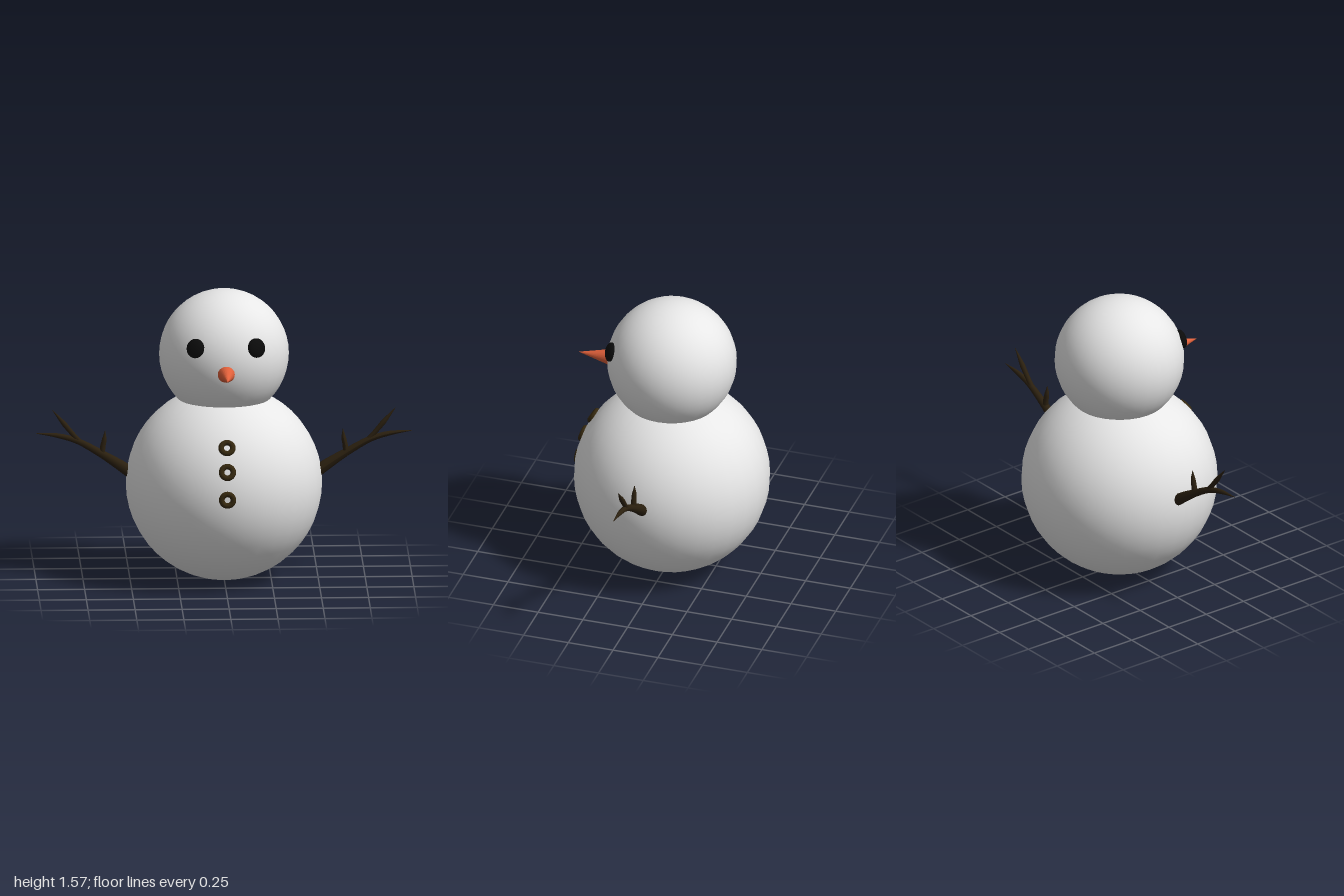
import * as THREE from 'three';

const flat = (name, color) => {
  const m = new THREE.MeshStandardMaterial({ color });
  m.name = name;
  return m;
};

// Tapered round branch through [x, y, radius] points
function branch(points, material, name) {
  const steps = 16, sides = 10;
  const curve = new THREE.CatmullRomCurve3(points.map(([x, y]) => new THREE.Vector3(x, y, 0)));
  const geo = new THREE.TubeGeometry(curve, steps, 1, sides);
  const pos = geo.attributes.position;
  const lengths = curve.getLengths(200);
  const n = points.length - 1;
  const stops = points.map((_, i) => lengths[Math.round((i / n) * 200)] / lengths[200]);
  const v = new THREE.Vector3();
  for (let i = 0; i <= steps; i++) {
    const u = i / steps;
    let k = 0;
    while (k < n - 1 && u > stops[k + 1]) k++;
    const t = (u - stops[k]) / (stops[k + 1] - stops[k]);
    const radius = THREE.MathUtils.lerp(points[k][2], points[k + 1][2], t);
    const center = curve.getPointAt(u);
    for (let j = 0; j <= sides; j++) {
      const id = i * (sides + 1) + j;
      v.fromBufferAttribute(pos, id).sub(center).multiplyScalar(radius).add(center);
      pos.setXYZ(id, v.x, v.y, v.z);
    }
  }
  geo.computeVertexNormals();
  const mesh = new THREE.Mesh(geo, material);
  mesh.name = name;
  return mesh;
}

export function createModel() {
  const snow = flat('snow', 0xe7e7e7);
  const coal = flat('coal', 0x0b0b0b);
  const carrot = flat('carrot', 0xe0603a);
  const wood = flat('wood', 0x2b200f);
  const buttonBrown = flat('button brown', 0x35280f);

  const model = new THREE.Group();
  model.name = 'snowman';
  const add = (name, geo, material, x, y, z, parent = model) => {
    const mesh = new THREE.Mesh(geo, material);
    mesh.name = name;
    mesh.position.set(x, y, z);
    parent.add(mesh);
    return mesh;
  };

  // Snowballs
  const bodyCenter = new THREE.Vector3(0, 0.527, -0.004);
  const headCenter = new THREE.Vector3(0, 1.229, -0.004);
  const bodyRadius = 0.522;
  add('body', new THREE.SphereGeometry(bodyRadius, 32, 24), snow, ...bodyCenter);
  add('head', new THREE.SphereGeometry(0.345, 32, 24), snow, ...headCenter);

  // Eyes, flattened against the head
  for (const side of [-1, 1]) {
    const eye = add(side > 0 ? 'leftEye' : 'rightEye', new THREE.SphereGeometry(0.052, 20, 14), coal,
      side * 0.162, 1.32, 0.287);
    eye.lookAt(eye.position.clone().multiplyScalar(2).sub(headCenter));
    eye.scale.set(0.98, 1, 0.52);
  }

  // Carrot nose
  const noseGeo = new THREE.ConeGeometry(0.054, 0.22, 20);
  noseGeo.rotateX(Math.PI / 2);
  add('nose', noseGeo, carrot, 0, 1.188, 0.408);

  // Ring buttons, tilted to follow the belly
  const ringGeo = new THREE.TorusGeometry(0.031, 0.015, 10, 24);
  for (const y of [0.81, 0.69, 0.545]) {
    const tilt = Math.asin((y - bodyCenter.y) / bodyRadius);
    const z = bodyCenter.z + Math.cos(tilt) * bodyRadius;
    const button = add('button', ringGeo, buttonBrown, 0, y, z);
    button.rotation.x = -tilt;
  }

  // Twig arms, the second one turned to the other side
  for (const side of [1, -1]) {
    const arm = new THREE.Group();
    arm.name = side > 0 ? 'leftArm' : 'rightArm';
    arm.add(
      branch([[0.46, 0.557, 0.034], [0.54, 0.615, 0.03], [0.65, 0.685, 0.021], [0.78, 0.757, 0.016],
        [0.88, 0.786, 0.013], [1.0, 0.8, 0.001]], wood, 'armStick'),
      branch([[0.76, 0.745, 0.014], [0.8, 0.79, 0.013], [0.85, 0.85, 0.014], [0.912, 0.926, 0.001]],
        wood, 'armFork'),
      branch([[0.648, 0.67, 0.017], [0.645, 0.72, 0.015], [0.636, 0.765, 0.013], [0.632, 0.812, 0.001]],
        wood, 'armTwig'),
    );
    if (side < 0) arm.rotation.y = Math.PI;
    model.add(arm);
  }

  return model;
}
